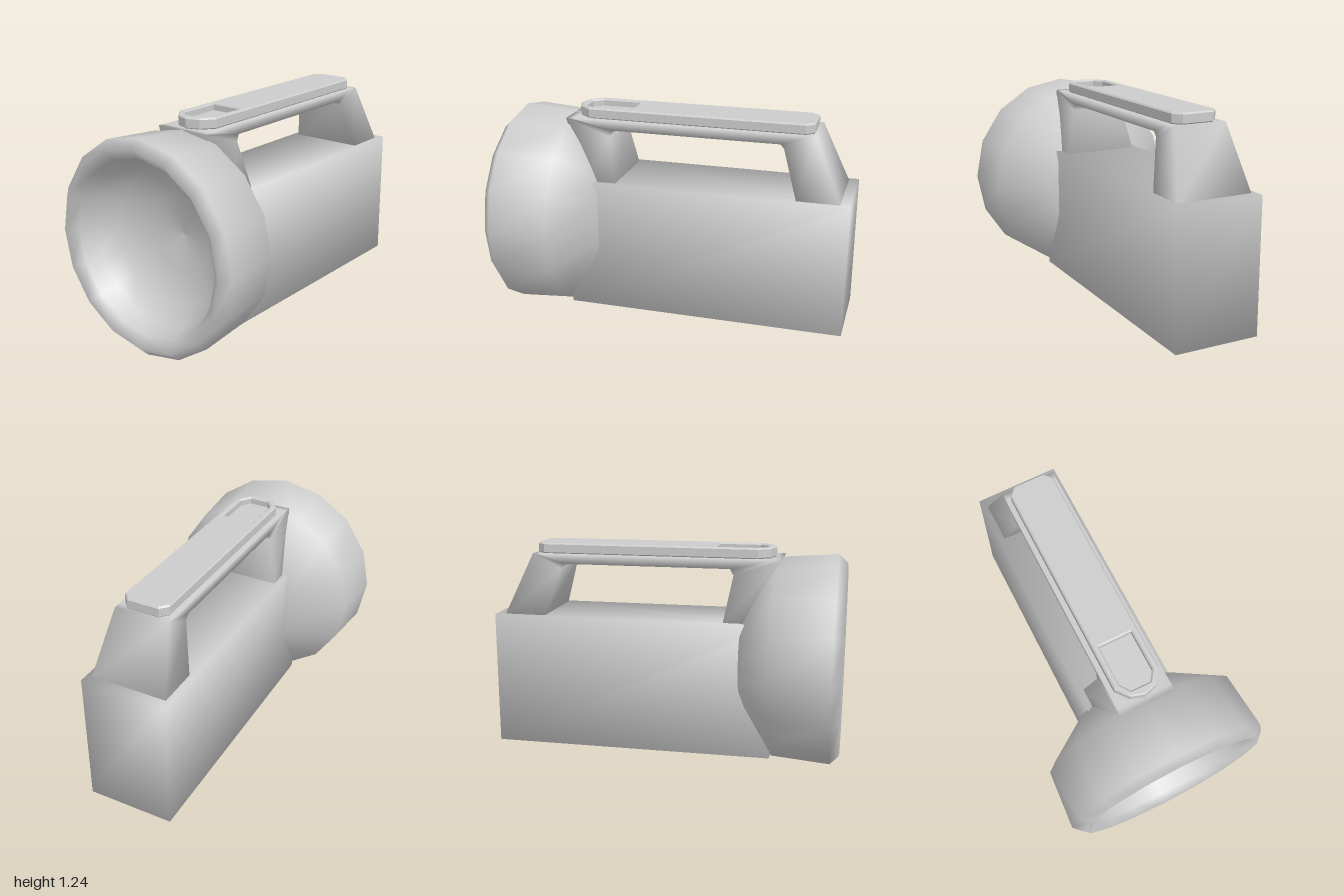
import * as THREE from 'three';
import { mergeVertices } from 'three/addons/utils/BufferGeometryUtils.js';

const grey = new THREE.MeshStandardMaterial({ color: 0xcccccc });
grey.name = 'light grey';

function part(name, geometry) {
  const mesh = new THREE.Mesh(geometry, grey);
  mesh.name = name;
  return mesh;
}

// Shares corner vertices so the shading runs smoothly round the edges
function soften(geometry) {
  geometry.deleteAttribute('normal');
  geometry.deleteAttribute('uv');
  const merged = mergeVertices(geometry, 1e-4);
  merged.computeVertexNormals();
  return merged;
}

// Four-cornered sections: [outer z, outer y, inner z, inner y, half width]
function loftHandle(sections) {
  const pos = [], index = [];
  for (const [oz, oy, iz, iy, w] of sections) {
    pos.push(-w, oy, oz, w, oy, oz, w, iy, iz, -w, iy, iz);
  }
  for (let s = 0; s < sections.length - 1; s++) {
    for (let k = 0; k < 4; k++) {
      const a = s * 4 + k, b = s * 4 + (k + 1) % 4;
      index.push(a, b, b + 4, a, b + 4, a + 4);
    }
  }
  const e = (sections.length - 1) * 4;
  index.push(0, 2, 1, 0, 3, 2, e, e + 1, e + 2, e, e + 2, e + 3);
  const g = new THREE.BufferGeometry();
  g.setAttribute('position', new THREE.Float32BufferAttribute(pos, 3));
  g.setIndex(index);
  g.computeVertexNormals();
  return g;
}

const outline = (pts) => pts.map(([x, z]) => new THREE.Vector2(x, z));

export function createModel() {
  const model = new THREE.Group();
  model.name = 'lantern';

  // Lamp head: outer shell, rounded rim and reflector bowl in one profile
  const profile = outline([
    [0, 0.43], [0.30, 0.43], [0.575, 0.62], [0.6, 0.95], [0.55, 1],
    [0.49, 0.95], [0.46, 0.85], [0.38, 0.75], [0.22, 0.67], [0, 0.64],
  ]);
  const head = part('lampHead', new THREE.LatheGeometry(profile, 16).rotateX(Math.PI / 2));
  head.position.y = 0.605;
  model.add(head);

  // Battery body
  const body = part('batteryBody', soften(new THREE.BoxGeometry(0.495, 0.767, 1.61)));
  body.position.set(0, 0.4485, -0.195);
  model.add(body);

  // Handle: front post, grip bar and rear post
  model.add(part('handle', loftHandle([
    [0.50, 0.82, 0.33, 0.82, 0.22],
    [0.64, 1.18, 0.38, 1.09, 0.16],
    [0.60, 1.18, 0.36, 1.125, 0.155],
    [-0.75, 1.18, -0.60, 1.125, 0.155],
    [-0.79, 1.18, -0.62, 1.10, 0.155],
    [-0.95, 0.82, -0.71, 0.82, 0.22],
  ])));

  // Grip pad with the switch recess cut through it
  const pad = new THREE.Shape(outline([
    [-0.13, -0.73], [-0.09, -0.775], [0.09, -0.775], [0.13, -0.73],
    [0.13, 0.51], [0.075, 0.58], [0, 0.605], [-0.075, 0.58], [-0.13, 0.51],
  ]));
  const recess = outline([
    [-0.095, 0.27], [-0.095, 0.5], [-0.055, 0.555], [0.055, 0.555], [0.095, 0.5], [0.095, 0.27],
  ]);
  pad.holes.push(new THREE.Path(recess));
  const padGeometry = new THREE.ExtrudeGeometry(pad, {
    depth: 0.046, bevelThickness: 0.008, bevelSize: 0.008, bevelOffset: -0.008, bevelSegments: 1,
  });
  const gripPad = part('gripPad', padGeometry.rotateX(Math.PI / 2));
  gripPad.position.y = 1.232;
  model.add(gripPad);

  // Switch floor inside the recess
  const floor = new THREE.ExtrudeGeometry(new THREE.Shape(recess), { depth: 0.02, bevelEnabled: false });
  const switchPlate = part('switchPlate', floor.rotateX(Math.PI / 2));
  switchPlate.position.y = 1.2;
  model.add(switchPlate);

  return model;
}
